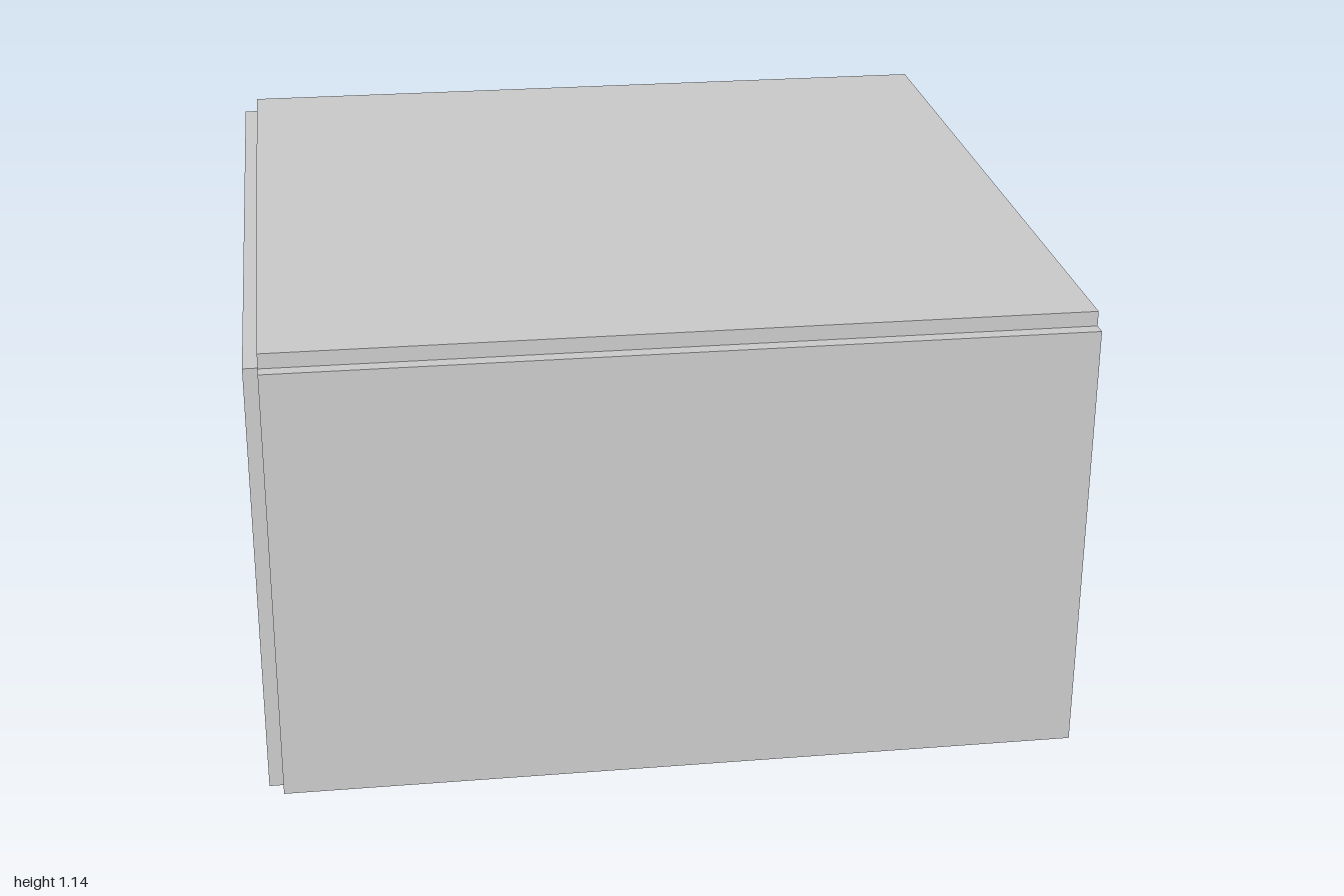
import * as THREE from 'three';
import { RoundedBoxGeometry } from 'three/addons/geometries/RoundedBoxGeometry.js';

const smooth = new THREE.MeshStandardMaterial({ color: 0xcccccc, side: THREE.DoubleSide });
const flat = new THREE.MeshStandardMaterial({ color: 0xcccccc, flatShading: true, side: THREE.DoubleSide });

function add(parent, name, geometry, x = 0, y = 0, z = 0, material = smooth) {
  const mesh = new THREE.Mesh(geometry, material);
  mesh.name = name;
  mesh.position.set(x, y, z);
  parent.add(mesh);
  return mesh;
}

// Box given by its minimum and maximum on each axis
function block(parent, name, [x0, x1], [y0, y1], [z0, z1]) {
  const g = new THREE.BoxGeometry(x1 - x0, y1 - y0, z1 - z0);
  add(parent, name, g, (x0 + x1) / 2, (y0 + y1) / 2, (z0 + z1) / 2);
}

function group(parent, name) {
  const g = new THREE.Group();
  g.name = name;
  parent.add(g);
  return g;
}

// Outline in (z, y) with a hole, extruded along x from x0
function panel(parent, name, outline, hole, x0, depth) {
  const points = (list) => list.map(([z, y]) => new THREE.Vector2(-z, y));
  const shape = new THREE.Shape(points(outline));
  shape.holes.push(new THREE.Path(points(hole)));
  const g = new THREE.ExtrudeGeometry(shape, { depth, bevelEnabled: false });
  g.rotateY(Math.PI / 2);
  add(parent, name, g, x0);
}

const lathe = (profile, sides) =>
  new THREE.LatheGeometry(profile.map(([r, y]) => new THREE.Vector2(r, y)), sides);

function buildRoom(root) {
  const room = group(root, 'room');
  block(room, 'floor', [-0.965, 1], [0, 0.037], [-1, 0.965]);
  block(room, 'ceiling', [-0.965, 1], [1.108, 1.145], [-1, 0.965]);
  block(room, 'frontWall', [-0.965, 1], [0, 1.108], [0.963, 1]);

  // Side wall with a tapered window opening
  const opening = [[0.607, 0.83], [0.227, 0.83], [0.275, 0.445], [0.56, 0.445]];
  const glassEdge = [[0.582, 0.803], [0.253, 0.803], [0.293, 0.472], [0.541, 0.472]];
  const wall = [[0.96, 0], [0.96, 1.108], [-1, 1.108], [-1, 0]];
  panel(room, 'windowWall', wall, opening, -1, 0.036);
  panel(room, 'windowFrame', opening, glassEdge, -1, 0.046);
}

function buildBed(root) {
  const bed = group(root, 'bed');
  const cx = -0.79, w = 0.33;
  for (const x of [cx - w / 2 + 0.03, cx + w / 2 - 0.03]) {
    for (const z of [0.24, 0.91]) block(bed, 'bedLeg', [x - 0.018, x + 0.018], [0.037, 0.115], [z - 0.018, z + 0.018]);
  }
  block(bed, 'mattress', [cx - w / 2 + 0.005, cx + w / 2 - 0.005], [0.11, 0.2], [0.215, 0.945]);

  // Blanket: a rounded slab whose top swells towards the pillow
  add(bed, 'blanket', new RoundedBoxGeometry(w, 0.125, 0.57, 4, 0.025), cx, 0.1725, 0.495);
  const swell = new THREE.PlaneGeometry(w - 0.03, 0.56, 16, 24).rotateX(-Math.PI / 2);
  const p = swell.attributes.position;
  for (let i = 0; i < p.count; i++) {
    const t = THREE.MathUtils.clamp(0.5 - p.getZ(i) / 0.56, 0, 1);
    const across = Math.cos((p.getX(i) / (w - 0.03)) * Math.PI);
    p.setY(i, 0.03 * Math.sin(Math.PI * Math.pow(t, 0.6)) * across);
  }
  swell.computeVertexNormals();
  add(bed, 'blanketSwell', swell, cx, 0.232, 0.495);

  // Pillow leaning against the wall end
  const pillow = add(bed, 'pillow', new THREE.SphereGeometry(1, 20, 12), cx, 0.232, 0.85);
  pillow.scale.set(0.13, 0.026, 0.07);
  pillow.rotation.x = -0.3;
}

function buildNightstand(root) {
  block(root, 'nightstand', [-0.607, -0.46], [0.037, 0.235], [0.832, 0.945]);

  // Lamp with a faceted, open shade
  const lamp = group(root, 'lamp');
  lamp.position.set(-0.53, 0.235, 0.887);
  add(lamp, 'lampBase', new THREE.CylinderGeometry(0.022, 0.026, 0.008, 12), 0, 0.004, 0, flat);
  add(lamp, 'lampStem', new THREE.CylinderGeometry(0.008, 0.008, 0.07, 8), 0, 0.04, 0);
  add(lamp, 'lampShade', new THREE.CylinderGeometry(0.028, 0.05, 0.072, 8, 1, true), 0, 0.09, 0, flat);
}

function buildDesk(root) {
  block(root, 'desk', [0.03, 0.21], [0.037, 0.27], [-0.183, 0.213]);

  // Small teapot
  const pot = group(root, 'teapot');
  pot.position.set(0.12, 0.27, -0.065);
  add(pot, 'potBody', lathe([[0, 0], [0.03, 0], [0.038, 0.012], [0.04, 0.025], [0.034, 0.04], [0.022, 0.047], [0, 0.05]], 16));
  add(pot, 'lidKnob', new THREE.SphereGeometry(0.009, 10, 8), 0, 0.057, 0);
  const spoutPath = new THREE.CatmullRomCurve3([
    new THREE.Vector3(0, 0.018, -0.033), new THREE.Vector3(0, 0.026, -0.05), new THREE.Vector3(0, 0.038, -0.063)]);
  add(pot, 'spout', new THREE.TubeGeometry(spoutPath, 8, 0.005, 8));
  const handle = add(pot, 'handle', new THREE.TorusGeometry(0.022, 0.003, 6, 16, Math.PI), 0, 0.045, 0);
  handle.rotation.y = Math.PI / 2;
}

export function createModel() {
  const root = new THREE.Group();
  root.name = 'bedroom';
  buildRoom(root);
  buildBed(root);
  buildNightstand(root);
  buildDesk(root);
  return root;
}
